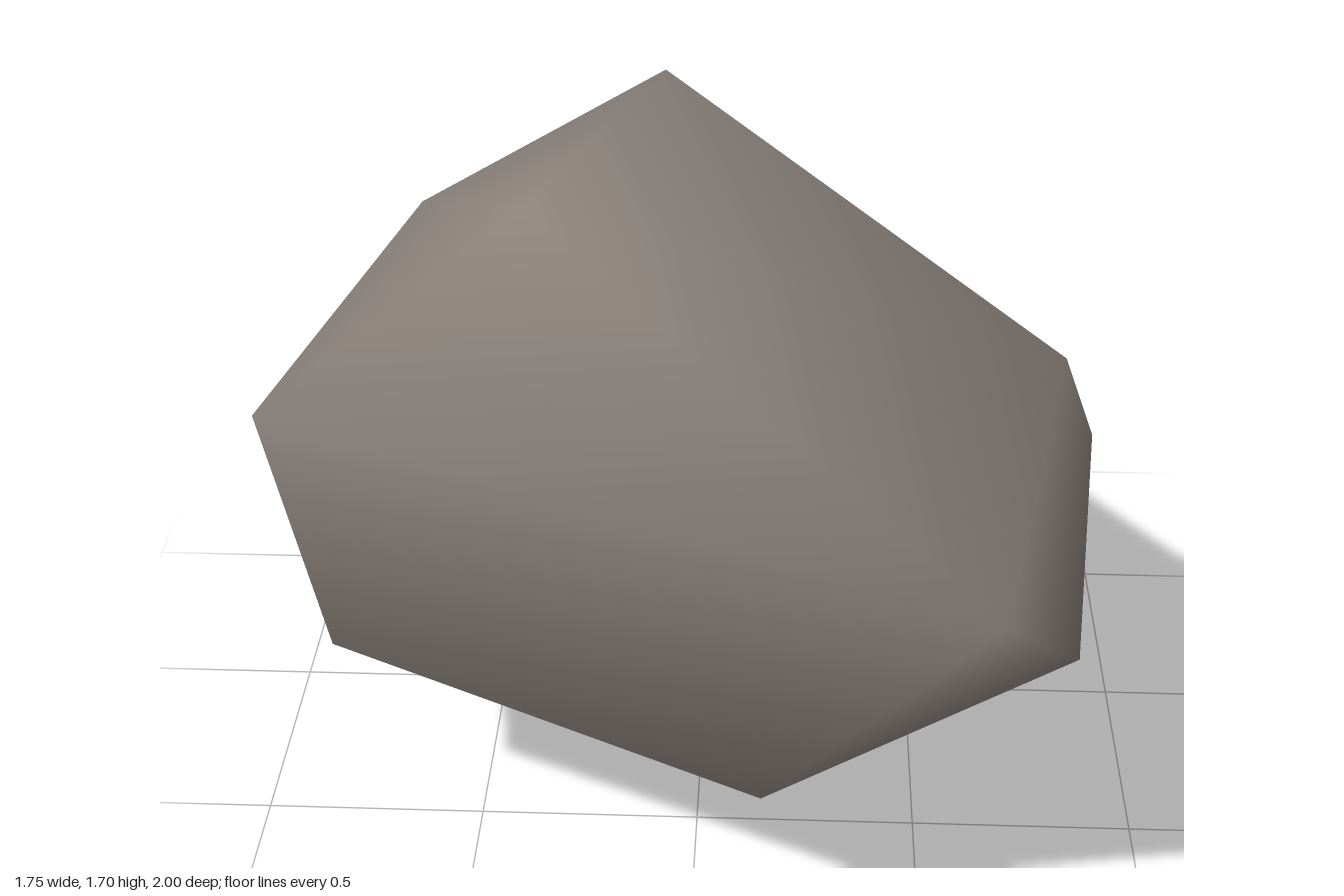
import * as THREE from 'three';
import { mergeVertices } from 'three/addons/utils/BufferGeometryUtils.js';
import { ConvexGeometry } from 'three/addons/geometries/ConvexGeometry.js';

// Corners of the boulder, from the crown down to the foot
const corners = [
  // crown
  [-0.08, 1.70, 0.09], [-0.33, 1.65, 0.64],
  // shoulders
  [0.76, 1.23, 0.45], [-0.88, 1.20, 0.69], [-0.11, 1.04, -0.96],
  // waist
  [-0.757, 0.97, -0.72], [0.62, 0.95, 1.0], [0.87, 0.88, 0.19],
  // lower flanks
  [0.83, 0.56, 0.59], [-0.748, 0.54, -0.75], [-0.36, 0.53, -1.0],
  [-0.81, 0.49, 0.51], [0.15, 0.39, 0.87],
  // foot
  [-0.71, 0.22, -0.22], [0.08, 0.195, -0.49], [-0.20, 0, 0.18],
];

// Wraps the corners in a hull and welds it so that shading runs smoothly over the edges
function smoothHull(points) {
  const hull = new ConvexGeometry(points.map((p) => new THREE.Vector3(...p)));
  hull.deleteAttribute('normal');
  const welded = mergeVertices(hull, 1e-4);
  welded.computeVertexNormals();
  return welded;
}

export function createModel() {
  const stone = new THREE.MeshStandardMaterial({ color: 0x8a817a });
  stone.name = 'stone';

  const boulder = new THREE.Mesh(smoothHull(corners), stone);
  boulder.name = 'boulder';

  const model = new THREE.Group();
  model.name = 'rock';
  model.add(boulder);
  return model;
}
